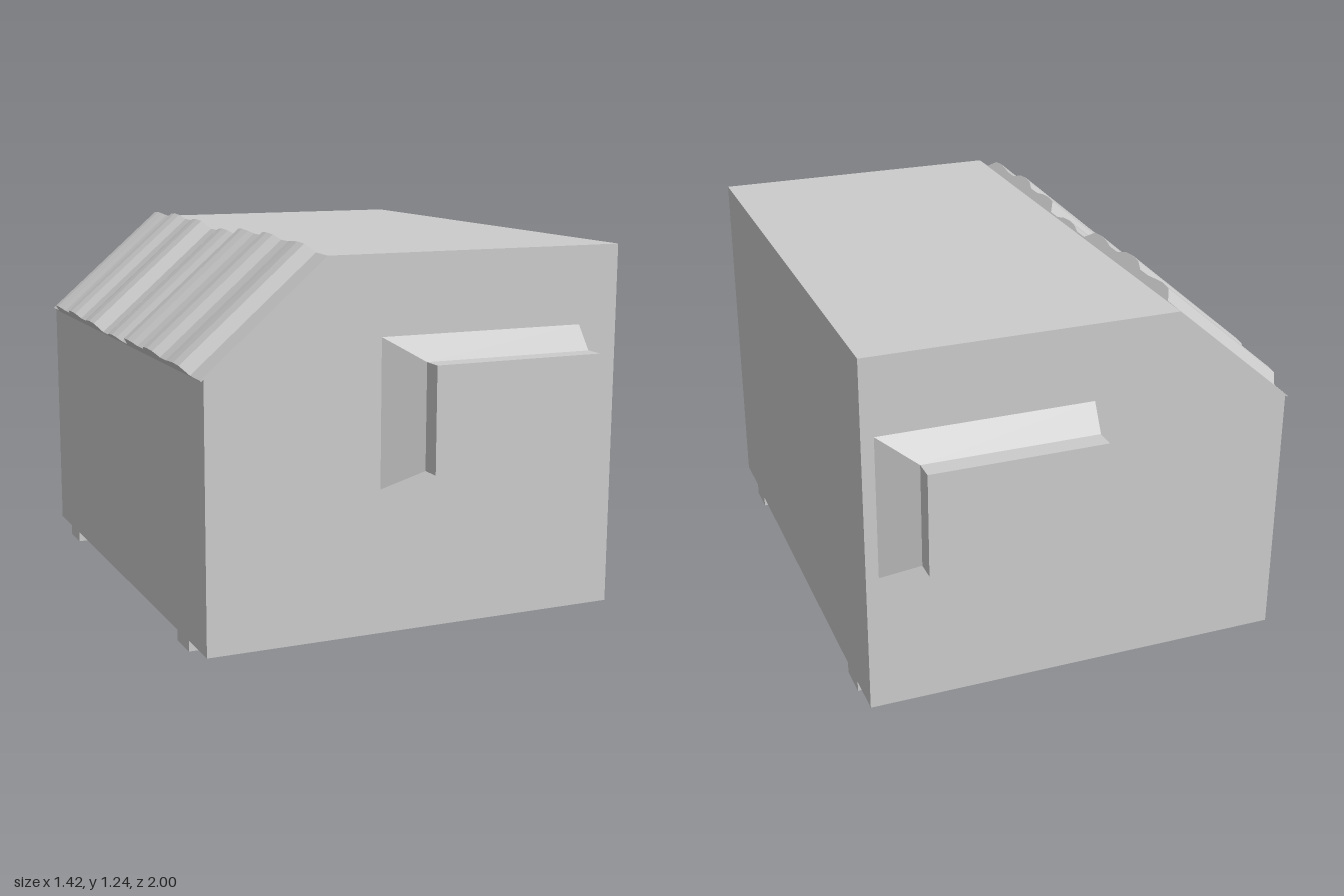
import * as THREE from 'three';

const material = new THREE.MeshStandardMaterial({ color: 0xcccccc, flatShading: true });
const thin = new THREE.MeshStandardMaterial({ color: 0xcccccc, flatShading: true, side: THREE.DoubleSide });
const HALF = 0.855; // half depth of the body

function polygon(points) {
  return new THREE.Shape(points.map(([x, y]) => new THREE.Vector2(x, y)));
}

function part(name, geometry, mat = material) {
  const mesh = new THREE.Mesh(geometry, mat);
  mesh.name = name;
  return mesh;
}

function box(name, x0, x1, y0, y1, z0, z1) {
  const mesh = part(name, new THREE.BoxGeometry(x1 - x0, y1 - y0, z1 - z0));
  mesh.position.set((x0 + x1) / 2, (y0 + y1) / 2, (z0 + z1) / 2);
  return mesh;
}

// Pocket on an end wall: a box with flared guide plates on three sides
function createPocket(name) {
  const pocket = new THREE.Group();
  pocket.name = name;
  pocket.add(box('pocketBox', 0, 0.56, 0.555, 0.885, HALF - 0.01, 1));

  const inner = [[0, 0.555], [0, 0.885], [0.56, 0.885], [0.56, 0.555]];
  const outer = [[-0.11, 0.49], [-0.11, 0.955], [0.575, 0.955], [0.575, 0.555]];
  const positions = [];
  for (let i = 0; i < 3; i++) {
    const a = [...outer[i], HALF], b = [...outer[i + 1], HALF];
    const c = [...inner[i + 1], 0.935], d = [...inner[i], 0.935];
    positions.push(...a, ...d, ...b, ...b, ...d, ...c);
  }
  const flare = new THREE.BufferGeometry();
  flare.setAttribute('position', new THREE.Float32BufferAttribute(positions, 3));
  flare.computeVertexNormals();
  pocket.add(part('pocketFlare', flare, thin));
  return pocket;
}

// Ribbed sheet: a trapezoidal wave section swept down the sloped side
function createSheet() {
  const pitch = 0.228;
  const crests = [0.037, 0.042, 0.05, 0.037].map((h, i) => (i === 0 ? 0.02 : h));
  const valleys = [0.005, 0.03, 0.028, 0.002];
  const points = [[HALF, 0]];
  for (let i = 3; i >= -3; i--) {
    const k = Math.abs(i), z = i * pitch;
    const before = valleys[i > 0 ? k : k - 1] ?? valleys[0];
    const after = valleys[i > 0 ? k - 1 : k];
    points.push([z + 0.085, before], [z + 0.045, crests[k] - 0.004], [z, crests[k]],
      [z - 0.045, crests[k] - 0.004], [z - 0.085, after]);
  }
  points.push([-HALF, 0], [-HALF, -0.004], [HALF, -0.004]);

  const top = new THREE.Vector3(-0.285, 1.203, 0);
  const down = new THREE.Vector3(-0.395, -0.34, 0);
  const length = down.length();
  down.normalize();
  const across = new THREE.Vector3(0, 0, 1);
  const normal = new THREE.Vector3().crossVectors(down, across);
  const geometry = new THREE.ExtrudeGeometry(polygon(points), { depth: length, bevelEnabled: false });
  geometry.applyMatrix4(new THREE.Matrix4().makeBasis(across, normal, down).setPosition(top));
  return part('corrugatedSheet', geometry);
}

export function createModel() {
  const model = new THREE.Group();
  model.name = 'wasteContainer';

  // Body with one sloped upper corner
  const section = polygon([[-0.67, 0.035], [0.71, 0.035], [0.71, 1.203], [-0.285, 1.203], [-0.67, 0.87]]);
  const body = new THREE.ExtrudeGeometry(section, { depth: 2 * HALF, bevelEnabled: false });
  body.translate(0, 0, -HALF);
  model.add(part('body', body));

  model.add(createSheet());

  // Skids running the width of the floor
  model.add(box('frontSkid', -0.67, 0.71, 0, 0.04, 0.58, 0.69));
  model.add(box('backSkid', -0.67, 0.71, 0, 0.04, -0.71, -0.6));

  // Pockets, the back one turned half round
  model.add(createPocket('frontPocket'));
  const back = createPocket('backPocket');
  back.rotation.y = Math.PI;
  back.position.x = 0.56;
  model.add(back);

  return model;
}
